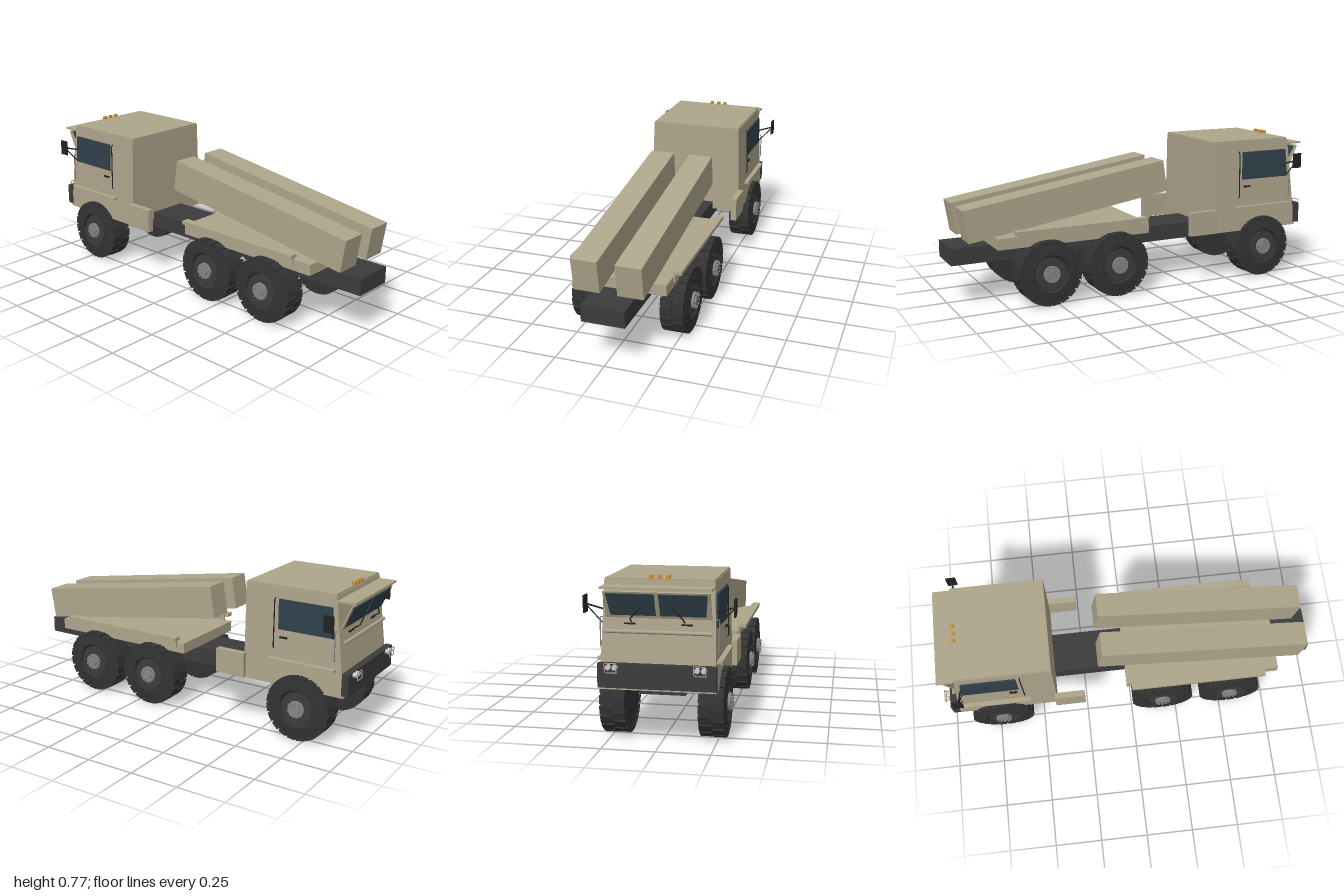
import * as THREE from 'three';

const mat = (color) => new THREE.MeshStandardMaterial({ color });
const tan = mat(0xaea58b), dark = mat(0x3c3c3d), tyre = mat(0x333334), black = mat(0x222222);
const glass = mat(0x31414c), grey = mat(0x858585), amber = mat(0xd0912f), lamp = mat(0xcccccc);

// The cab leans in towards the roof at the sides and the nose
const cabHalf = (y) => 0.265 - 0.03 * (y - 0.26);
const cabNose = (y) => -0.945 + 0.12 * (y - 0.26);

function add(parent, name, geo, material, x = 0, y = 0, z = 0) {
  const m = new THREE.Mesh(geo, material);
  m.name = name;
  m.position.set(x, y, z);
  parent.add(m);
  return m;
}

// Box given by its minimum and maximum corners
function block(parent, name, material, a, b) {
  const s = b.map((v, i) => v - a[i]), c = b.map((v, i) => (v + a[i]) / 2);
  return add(parent, name, new THREE.BoxGeometry(...s), material, ...c);
}

// Round bar through points
function bar(parent, name, material, r, ...pts) {
  const path = new THREE.CurvePath();
  const v = pts.map((p) => new THREE.Vector3(...p));
  for (let i = 1; i < v.length; i++) path.add(new THREE.LineCurve3(v[i - 1], v[i]));
  return add(parent, name, new THREE.TubeGeometry(path, (v.length - 1) * 4, r, 8), material);
}

// Cylinder lying along x
function disc(parent, name, material, r, x0, x1, y = 0, z = 0, sides = 32) {
  const g = new THREE.CylinderGeometry(r, r, x1 - x0, sides).rotateZ(Math.PI / 2);
  return add(parent, name, g, material, (x0 + x1) / 2, y, z);
}

// Wheel with its outer face towards +x, centred on its axle
function makeWheel() {
  const w = new THREE.Group();
  w.name = 'wheel';
  const R = 0.1665;
  const profile = [[0, -0.056], [0.135, -0.056], [0.15, -0.054], [0.16, -0.05], [0.16, 0.05], [0.15, 0.057],
    [0.135, 0.06], [0.105, 0.064], [0.095, 0.064], [0.088, 0.052], [0, 0.052]];
  // Separate bands keep the shoulders sharp
  for (let i = 1; i < profile.length; i++) {
    const pts = [profile[i - 1], profile[i]].map((p) => new THREE.Vector2(...p));
    add(w, 'tyre', new THREE.LatheGeometry(pts, 40).rotateZ(-Math.PI / 2), tyre);
  }
  // Two staggered rows of tread blocks
  const count = 20;
  for (const row of [-1, 1]) {
    for (let i = 0; i < count; i++) {
      const a = ((i + (row > 0 ? 0.5 : 0)) / count) * Math.PI * 2;
      const m = add(w, 'treadBlock', new THREE.BoxGeometry(0.058, 0.022, 0.042), tyre,
        row * 0.03, Math.cos(a) * (R - 0.0118), Math.sin(a) * (R - 0.0118));
      m.rotation.x = a;
    }
  }
  // Rim, hub and bolts
  disc(w, 'rim', dark, 0.08, 0.045, 0.06);
  disc(w, 'hub', grey, 0.043, 0.05, 0.072);
  disc(w, 'hubCap', grey, 0.024, 0.06, 0.08, 0, 0, 20);
  const ring = (n, r, size, x0, x1, material) => {
    for (let i = 0; i < n; i++) {
      const a = (i / n) * Math.PI * 2;
      disc(w, 'bolt', material, size, x0, x1, Math.cos(a) * r, Math.sin(a) * r, 6);
    }
  };
  ring(10, 0.034, 0.005, 0.065, 0.083, grey);
  ring(12, 0.07, 0.004, 0.055, 0.064, dark);
  ring(12, 0.12, 0.0035, -0.059, 0.065, dark);
  return w;
}

function makeCab() {
  const cab = new THREE.Group();
  cab.name = 'cab';
  // Tapered shell
  const y0 = 0.262, y1 = 0.752, back = -0.405;
  const shell = new THREE.BoxGeometry(2, 1, 1).toNonIndexed();
  const p = shell.attributes.position;
  for (let i = 0; i < p.count; i++) {
    const y = p.getY(i) > 0 ? y1 : y0;
    p.setXYZ(i, p.getX(i) * cabHalf(y), y, p.getZ(i) > 0 ? back : cabNose(y));
  }
  shell.computeVertexNormals();
  add(cab, 'cabShell', shell, tan);
  block(cab, 'roof', tan, [-0.247, 0.75, -0.882], [0.247, 0.759, -0.408]);
  for (const x of [-0.04, 0, 0.04]) block(cab, 'roofLight', amber, [x - 0.009, 0.757, -0.885], [x + 0.009, 0.774, -0.868]);

  // Windscreen leaning forward under the visor
  block(cab, 'visor', tan, [-0.25, 0.721, -0.978], [0.25, 0.73, -0.885]);
  const lean = -0.41;
  const frame = add(cab, 'windscreenFrame', new THREE.BoxGeometry(0.48, 0.135, 0.008), tan, 0, 0.648, -0.932);
  frame.rotation.x = lean;
  for (const s of [-1, 1]) {
    const pane = new THREE.Shape([[0.01, -0.055], [0.215, -0.055], [0.228, 0.055], [0.01, 0.055]]
      .map(([x, y]) => new THREE.Vector2(x * s, y)));
    const m = add(cab, 'windscreen', new THREE.ExtrudeGeometry(pane, { depth: 0.014, bevelEnabled: false }),
      glass, 0, 0.648, -0.942);
    m.rotation.x = lean;
    bar(cab, 'wiper', black, 0.003, [s * 0.12, 0.57, -0.918], [s * 0.12, 0.588, -0.95], [s * 0.07, 0.64, -0.955]);
    block(cab, 'ventSlot', black, [s * 0.13 - 0.025, 0.556, -0.916], [s * 0.13 + 0.025, 0.563, -0.9]);
  }
  bar(cab, 'noseRail', tan, 0.009, [-0.245, 0.525, -0.925], [0.245, 0.525, -0.925]);

  // Bumper and headlights
  block(cab, 'bumper', dark, [-0.268, 0.275, -0.97], [0.268, 0.385, -0.935]);
  for (const s of [-1, 1]) {
    for (const d of [-0.015, 0.015]) {
      const x = s * 0.2 + d;
      const g = new THREE.CylinderGeometry(0.012, 0.012, 0.022, 16).rotateX(Math.PI / 2);
      add(cab, 'headlight', g, lamp, x, 0.372, -0.978);
    }
    const guard = [[-0.027, 0.35], [0.027, 0.35], [0.027, 0.393], [-0.027, 0.393], [-0.027, 0.35]];
    bar(cab, 'headlightGuard', tan, 0.0025, ...guard.map(([x, y]) => [s * 0.2 + x, y, -0.996]));
    for (const x of [-0.027, 0.027]) bar(cab, 'headlightGuard', tan, 0.0025, [s * 0.2 + x, 0.372, -0.965], [s * 0.2 + x, 0.372, -0.996]);

    // Side window: shape drawn as (-z, y)
    const win = new THREE.Shape([[0.59, 0.545], [0.885, 0.545], [0.868, 0.695], [0.59, 0.695]]
      .map(([z, y]) => new THREE.Vector2(z, y)));
    const wg = new THREE.ExtrudeGeometry(win, { depth: 0.012, bevelEnabled: false }).rotateY(Math.PI / 2);
    add(cab, 'sideWindow', wg, glass, s > 0 ? 0.25 : -0.262);

    // Door fittings and grab rails
    block(cab, 'doorHandle', black, [s * 0.26 - 0.007, 0.502, -0.64], [s * 0.26 + 0.007, 0.51, -0.6]);
    bar(cab, 'doorRail', black, 0.003, [s * 0.25, 0.7, -0.568], [s * 0.262, 0.7, -0.568], [s * 0.267, 0.44, -0.568], [s * 0.255, 0.44, -0.568]);
    bar(cab, 'grabRail', grey, 0.003, [s * 0.255, 0.583, -0.893], [s * 0.271, 0.583, -0.893], [s * 0.271, 0.44, -0.893], [s * 0.255, 0.44, -0.893]);

    // Mirror on two arms
    block(cab, 'mirror', black, [s * 0.34 - 0.004, 0.6, -0.915], [s * 0.34 + 0.004, 0.68, -0.865]);
    bar(cab, 'mirrorArm', black, 0.004, [s * 0.25, 0.613, -0.875], [s * 0.338, 0.64, -0.89]);
    bar(cab, 'mirrorArm', black, 0.003, [s * 0.255, 0.545, -0.88], [s * 0.338, 0.638, -0.89]);

    // Mudguard strip and storage box behind the cab
    block(cab, 'frontMudguard', tan, [s * 0.265 - 0.02, 0.385, -0.9], [s * 0.265 + 0.02, 0.399, -0.54]);
    block(cab, 'storageBox', tan, [s * 0.272 - 0.016, 0.268, -0.415], [s * 0.272 + 0.016, 0.394, -0.255]);
  }
  return cab;
}

export function createModel() {
  const truck = new THREE.Group();
  truck.name = 'truck';
  block(truck, 'chassis', dark, [-0.108, 0.218, -0.84], [0.108, 0.304, 1]);
  truck.add(makeCab());

  // Load bed, rear mudguards and the two sloping beams
  block(truck, 'loadBed', tan, [-0.238, 0.304, -0.025], [0.238, 0.36, 0.8]);
  for (const s of [-1, 1]) {
    block(truck, 'rearMudguard', tan, [s * 0.263 - 0.021, 0.378, 0], [s * 0.263 + 0.021, 0.397, 0.72]);
    block(truck, 'mudguardBracket', tan, [s * 0.24 - 0.006, 0.33, 0.02], [s * 0.24 + 0.006, 0.39, 0.7]);
    const beam = add(truck, 'beam', new THREE.BoxGeometry(0.129, 0.167, 1.108), tan, s * 0.108, 0.503, 0.39);
    beam.rotation.x = 0.154;
  }

  // Three axles
  for (const z of [0.545, 0.17, -0.715]) {
    for (const s of [-1, 1]) {
      const w = makeWheel();
      w.position.set(s * 0.229, 0.1665, z);
      if (s < 0) w.rotation.y = Math.PI;
      truck.add(w);
    }
  }
  return truck;
}
